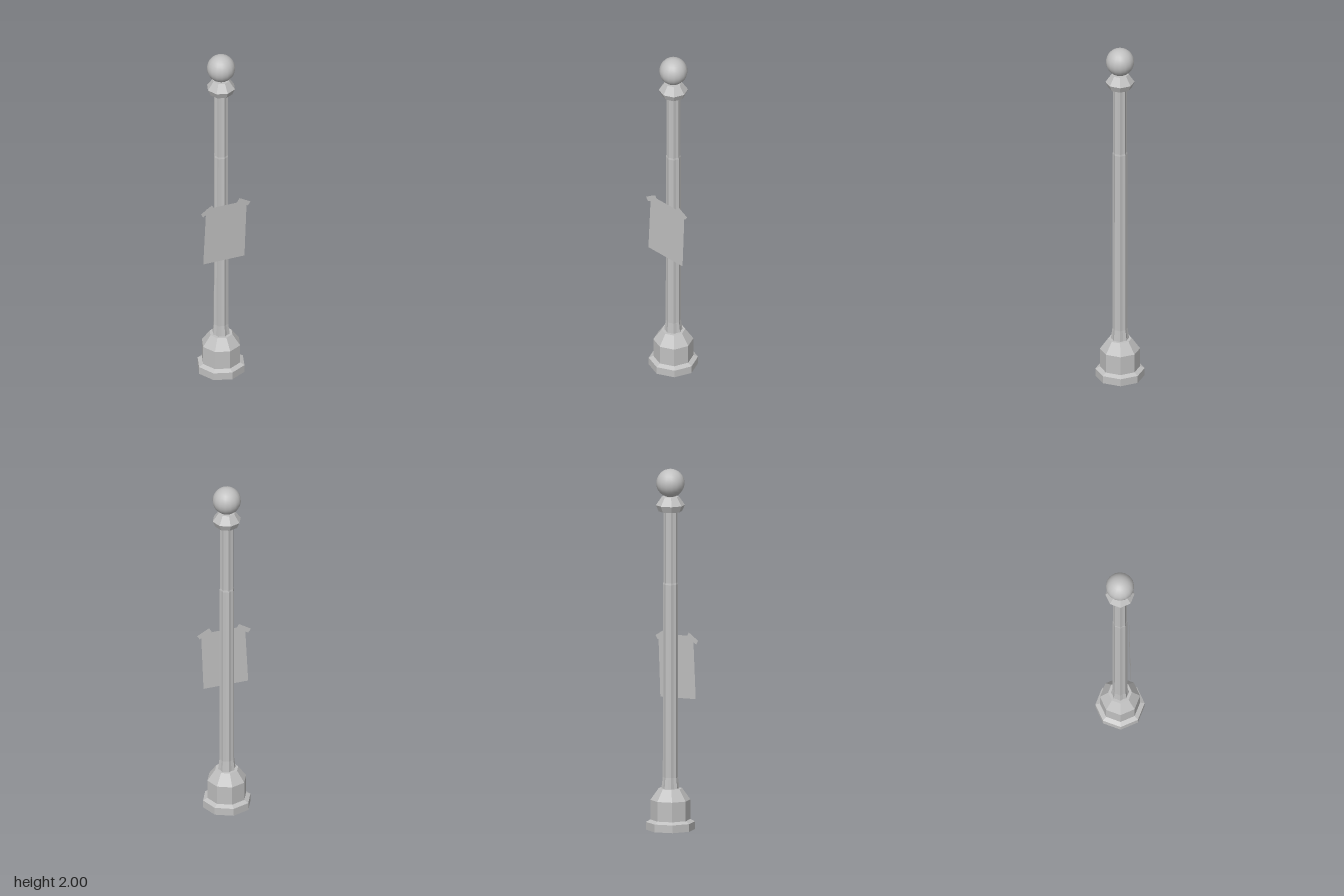
import * as THREE from 'three';

export function createModel() {
  const group = new THREE.Group();
  group.name = 'streetPost';
  const grey = new THREE.MeshStandardMaterial({ color: 0xc0c0c0, side: THREE.DoubleSide });
  grey.name = 'plain grey';

  const add = (name, geometry) => {
    const mesh = new THREE.Mesh(geometry, grey);
    mesh.name = name;
    group.add(mesh);
    return mesh;
  };

  // Faceted turned part with hard edges
  const turned = (points, sides) => {
    const profile = points.map(([r, y]) => new THREE.Vector2(r, y));
    const geometry = new THREE.LatheGeometry(profile, sides).toNonIndexed();
    geometry.computeVertexNormals();
    return geometry;
  };

  // Flat sheet facing +z
  const sheet = (points) =>
    new THREE.ShapeGeometry(new THREE.Shape(points.map(([x, y]) => new THREE.Vector2(x, y))));

  // Hollow octagonal pedestal, open underneath
  add('pedestal', turned([
    [0.135, 0], [0.135, 0.043], [0.11, 0.056], [0.11, 0.165], [0.065, 0.228], [0.045, 0.228],
  ], 8));

  // Fluted shaft, flared at its foot: every second corner is pulled inwards
  const shaft = new THREE.LatheGeometry(
    [[0.05, 0.225], [0.042, 0.29], [0.041, 1.36], [0.039, 1.37], [0.039, 1.77]]
      .map(([r, y]) => new THREE.Vector2(r, y)), 16);
  const p = shaft.attributes.position;
  for (let i = 0; i < p.count; i++) {
    const corner = Math.floor(i / 5);
    if (corner % 2) p.setXYZ(i, p.getX(i) * 0.87, p.getY(i), p.getZ(i) * 0.87);
  }
  const flutes = shaft.toNonIndexed();
  flutes.computeVertexNormals();
  add('shaft', flutes);

  // Octagonal capital and ball finial
  add('capital', turned([
    [0.036, 1.765], [0.064, 1.765], [0.08, 1.8], [0.047, 1.847], [0, 1.847],
  ], 8));
  add('ballFinial', new THREE.SphereGeometry(0.078, 16, 16)).position.y = 1.922;

  // Slightly crooked notice taped to the front
  add('notice', sheet([[-0.137, 0.73], [0.117, 0.717], [0.131, 1.066], [-0.119, 1.078]]))
    .position.z = 0.053;
  for (const side of [-1, 1]) {
    const corners = [[0.085, 1.095], [0.07, 1.07], [0.138, 1.033], [0.153, 1.055]]
      .map(([x, y]) => [x * side, y]);
    add(side < 0 ? 'rightTape' : 'leftTape', sheet(corners)).position.z = 0.055;
  }

  return group;
}
